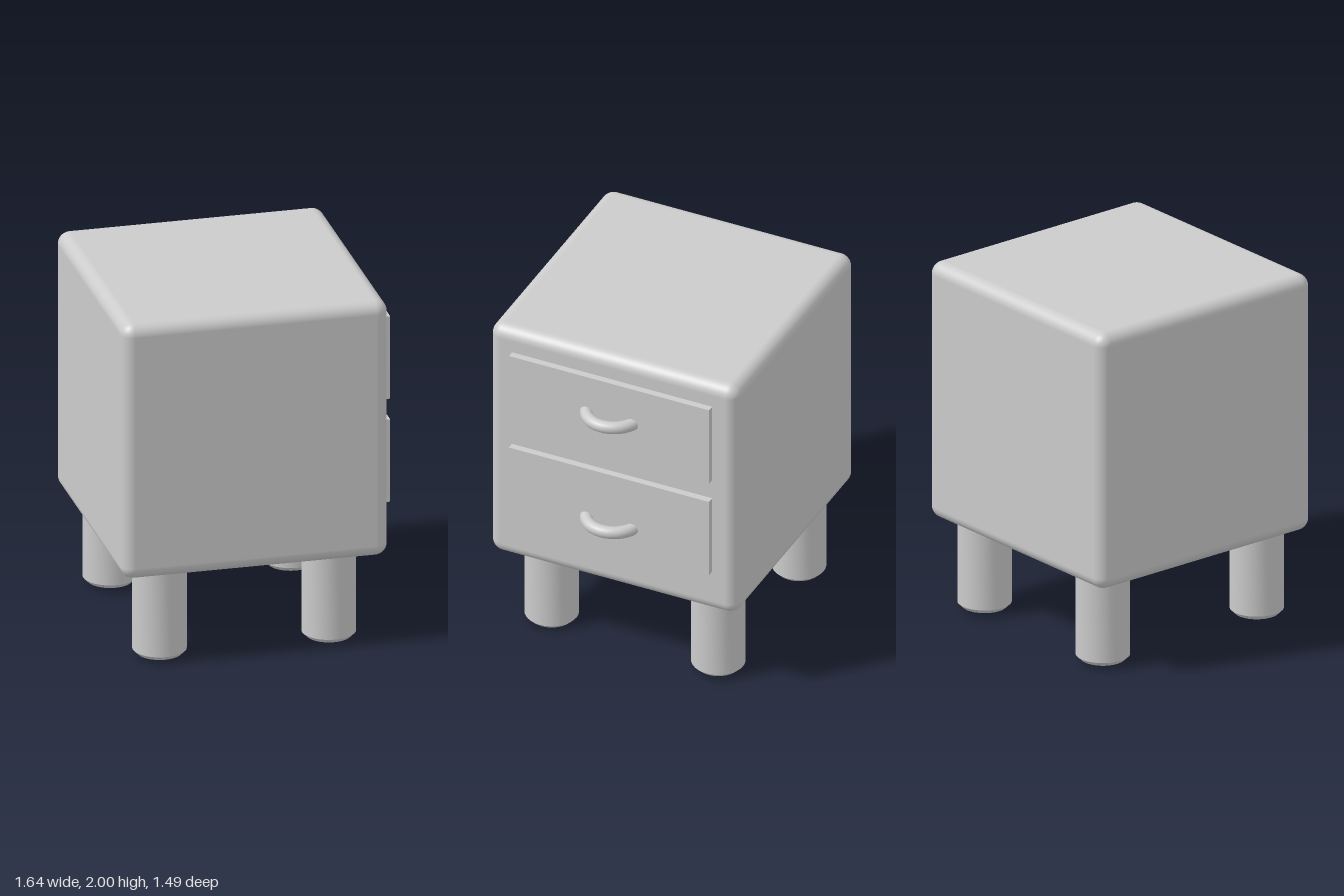
import * as THREE from 'three';
import { RoundedBoxGeometry } from 'three/addons/geometries/RoundedBoxGeometry.js';
import { toCreasedNormals } from 'three/addons/utils/BufferGeometryUtils.js';

const grey = new THREE.MeshStandardMaterial({ color: 0xcccccc });

function add(parent, name, geometry, x, y, z) {
  const mesh = new THREE.Mesh(geometry, grey);
  mesh.name = name;
  mesh.position.set(x, y, z);
  parent.add(mesh);
  return mesh;
}

// Round leg with a small bevel at the foot, its top sunk into the cabinet
function legGeometry(bottom) {
  const r = 0.148, bevel = 0.025, top = 0.55;
  const profile = [
    [0, bottom], [r - bevel, bottom], [r, bottom + bevel], [r, top], [0, top],
  ].map(([x, y]) => new THREE.Vector2(x, y));
  return toCreasedNormals(new THREE.LatheGeometry(profile, 32), 0.6);
}

// Horizontal bow handle: an arc whose ends sink into the drawer front
function handleGeometry() {
  const arc = 2.5;
  return new THREE.TorusGeometry(0.151, 0.035, 16, 32, arc)
    .rotateZ(-arc / 2)
    .rotateX(Math.PI / 2);
}

export function createModel() {
  const model = new THREE.Group();
  model.name = 'nightstand';

  // Cabinet with softly rounded edges
  add(model, 'cabinet', new RoundedBoxGeometry(1.485, 1.485, 1.485, 6, 0.07), -0.082, 1.2575, -0.002);

  // Two drawers on the right side, each with a handle
  const drawers = [['upperDrawer', 1.62, 1.63], ['lowerDrawer', 1.02, 0.943]];
  for (const [name, y, handleY] of drawers) {
    const drawer = new THREE.Group();
    drawer.name = name;
    add(drawer, 'drawerFront', new THREE.BoxGeometry(0.08, 0.48, 1.2), 0.66, y, 0);
    add(drawer, 'handle', handleGeometry(), 0.634, handleY, 0);
    model.add(drawer);
  }

  // Legs, one of them set slightly inward and lower
  const legs = [
    ['frontLeftLeg', 0.384, 0.495, 0],
    ['backLeftLeg', 0.432, -0.527, 0.015],
    ['frontRightLeg', -0.574, 0.55, 0.015],
    ['backRightLeg', -0.574, -0.527, 0.015],
  ];
  for (const [name, x, z, bottom] of legs) add(model, name, legGeometry(bottom), x, 0, z);

  return model;
}
